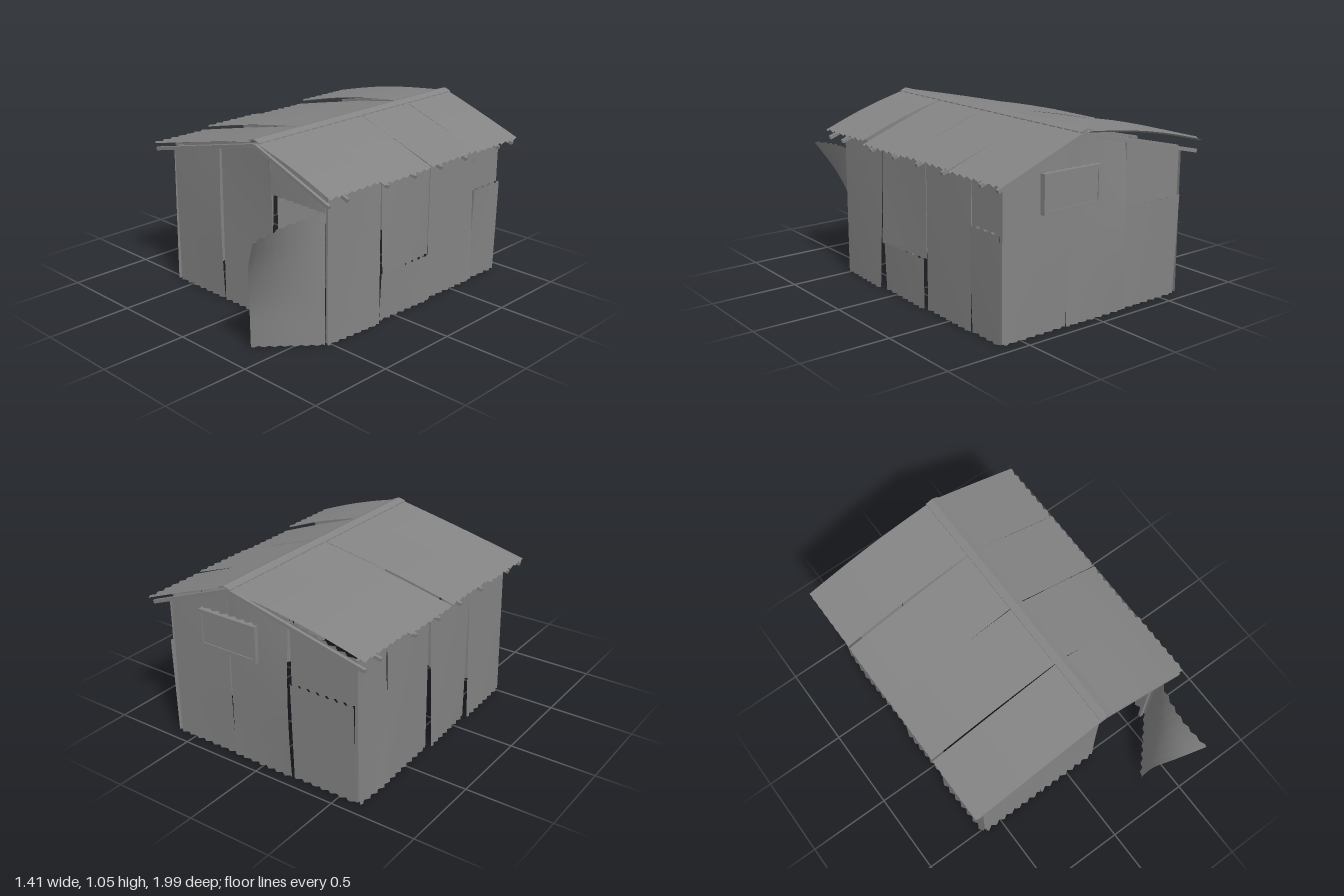
import * as THREE from 'three';

const steel = new THREE.MeshStandardMaterial({ color: 0x848484, side: THREE.DoubleSide });
steel.name = 'weathered steel';

const lerp = THREE.MathUtils.lerp;
const RIDGE_X = 0.15;
// underside height of the roof at x
const roofY = (x) => (x < RIDGE_X ? 1.005 - (RIDGE_X - x) * 0.235 : 1.005 - (x - RIDGE_X) * 0.385);

export function createModel() {
  const model = new THREE.Group();
  model.name = 'corrugatedShed';

  function add(name, geometry) {
    const mesh = new THREE.Mesh(geometry, steel);
    mesh.name = name;
    model.add(mesh);
    return mesh;
  }

  // Corrugated sheet: f(u, v) is the smooth surface, waves run across u.
  // Normals stay those of the smooth surface.
  function sheet(name, f, waves = 7, amp = 0.009, rows = 8) {
    const cols = waves * 4;
    const geo = new THREE.PlaneGeometry(1, 1, cols, rows);
    const pos = geo.attributes.position;
    for (let i = 0; i < pos.count; i++) {
      const u = pos.getX(i) + 0.5, v = pos.getY(i) + 0.5;
      pos.setXYZ(i, ...f(u, v));
    }
    geo.computeVertexNormals();
    const n = geo.attributes.normal;
    for (let i = 0; i < pos.count; i++) {
      const d = amp * Math.sin(((i % (cols + 1)) / 4) * Math.PI * 2);
      pos.setXYZ(i, pos.getX(i) + n.getX(i) * d, Math.max(0, pos.getY(i) + n.getY(i) * d), pos.getZ(i) + n.getZ(i) * d);
    }
    return add(name, geo);
  }

  // Square bar between two points
  function bar(name, a, b, w, h) {
    const A = new THREE.Vector3(...a), B = new THREE.Vector3(...b);
    const mesh = add(name, new THREE.BoxGeometry(w, h, A.distanceTo(B)));
    mesh.position.copy(A).add(B).multiplyScalar(0.5);
    mesh.lookAt(B);
  }

  // End wall sheet; out = [bottom u0, bottom u1, top u0, top u1] outward offsets
  function endSheet(name, side, x0, x1, y0, y1, out, bow = 0) {
    const z = side > 0 ? 0.52 : -0.925;
    sheet(name, (u, v) => {
      const x = lerp(x0, x1, u);
      const top = y1 ?? roofY(x);
      const o = lerp(lerp(out[0], out[1], u), lerp(out[2], out[3], u), v) + bow * Math.sin(Math.PI * v) * u;
      return [x, lerp(y0, top, v), z + side * o];
    });
  }

  // Front wall with the doorway on the left
  endSheet('frontSheetRight', 1, -0.605, -0.205, 0, null, [0, 0, 0.01, 0.01], 0.012);
  endSheet('frontSheetMiddle', 1, -0.2, 0.2, 0, null, [0, 0, 0, 0.015], -0.012);
  endSheet('doorHeader', 1, 0.2, 0.605, 0.74, null, [0.01, 0.015, 0.005, 0.005]);

  // Back wall
  endSheet('backSheetLeft', -1, 0.605, 0.2, 0, null, [0, 0, 0, 0], 0.01);
  endSheet('backSheetMiddle', -1, 0.2, -0.195, 0, null, [0.005, 0.01, 0, 0], 0.02);
  endSheet('backSheetRightLower', -1, -0.205, -0.605, 0, 0.575, [0, 0, 0.015, 0.02]);
  endSheet('backSheetRightUpper', -1, -0.205, -0.605, 0.565, null, [0, 0, 0, 0]);

  // Side walls: z start, z end, bottom, top, outward offsets, bottom skew
  const sides = [
    { name: 'left', s: 1, list: [
      [0.525, 0.125, 0, 0.83, [0, 0.025, 0, 0], 0.018],
      [0.115, -0.285, 0, 0.285, [0, 0.02, 0.01, 0.02], 0],
      [0.12, -0.285, 0.28, 0.83, [0.02, 0.0, 0, 0], 0],
      [-0.29, -0.68, 0, 0.83, [0, 0.015, 0, 0], -0.01],
      [-0.685, -0.925, 0, 0.57, [0, 0.01, 0.02, 0.02], 0],
      [-0.685, -0.925, 0.565, 0.83, [0, 0, 0, 0], 0]] },
    { name: 'right', s: -1, list: [
      [0.525, 0.125, 0, 0.83, [0.01, 0.025, 0, 0.005], 0],
      [0.12, -0.27, 0, 0.83, [0, 0.02, 0.01, 0], 0.012],
      [-0.285, -0.675, 0, 0.83, [0, 0.015, 0, 0], -0.012],
      [-0.685, -0.925, 0, 0.83, [0.02, 0.01, 0, 0.005], 0]] },
  ];
  for (const { name, s, list } of sides) {
    list.forEach(([z0, z1, y0, y1, o, skew], i) => sheet(`${name}WallSheet${i + 1}`, (u, v) => [
      s * (0.617 + lerp(lerp(o[0], o[1], u), lerp(o[2], o[3], u), v)),
      lerp(y0, y1, v),
      lerp(z0, z1, u) + skew * (1 - v) * u,
    ], Math.abs(z1 - z0) < 0.3 ? 4 : 7));
  }

  // Bent door sheet, hinged at the left front corner
  const freeEdge = new THREE.CatmullRomCurve3([
    [0.345, 0, 0.82], [0.375, 0.27, 0.85], [0.45, 0.5, 0.92], [0.57, 0.7, 0.993],
  ].map((p) => new THREE.Vector3(...p)));
  sheet('doorSheet', (u, v) => {
    const e = freeEdge.getPoint(v);
    const bend = 0.03 * Math.sin(Math.PI * u) * v;
    return [lerp(e.x, 0.605, u) - bend, lerp(e.y, 0.74 * v, u), lerp(e.z, 0.53, u)];
  }, 7, 0.007, 12);

  // Roof sheets: eave lift and mid bow for each, from back to front
  const slopes = [
    { name: 'right', x0: 0.125, x1: -0.705, y0: 1.027, y1: 0.845, lift: [0.035, 0.012, 0.02, 0], bow: [0.022, 0.006, 0.012, 0.004] },
    { name: 'left', x0: 0.175, x1: 0.7, y0: 1.027, y1: 0.833, lift: [0, 0.006, 0, 0.02], bow: [0.003, 0, 0.004, 0.012] },
  ];
  for (const r of slopes) {
    for (let i = 0; i < 4; i++) {
      const z0 = -0.998 + i * 0.4;
      sheet(`${r.name}RoofSheet${i + 1}`, (u, v) => [
        lerp(r.x0, r.x1, v),
        lerp(r.y0, r.y1, v) + r.lift[i] * v + r.bow[i] * Math.sin(Math.PI * v),
        z0 + 0.397 * u,
      ]);
    }
  }

  // Folded ridge cap
  const cap = new THREE.Shape();
  [[0.108, 1.028], [0.15, 1.04], [0.188, 1.025], [0.188, 1.031], [0.15, 1.046], [0.108, 1.034]]
    .forEach(([x, y], i) => (i ? cap.lineTo(x, y) : cap.moveTo(x, y)));
  add('ridgeCap', new THREE.ExtrudeGeometry(cap, { depth: 1.595, bevelEnabled: false })).position.z = -1;

  // Rafters
  for (const z of [0.588, 0.45, 0.145, -0.08, -0.3, -0.525, -0.835, -0.97]) {
    bar('rafterRight', [RIDGE_X, 1.01, z], [-0.69, 0.815, z], 0.018, 0.02);
    bar('rafterLeft', [RIDGE_X, 1.01, z], [0.685, 0.805, z], 0.018, 0.02);
  }

  // Corner posts
  for (const x of [-0.6, 0.6]) {
    for (const z of [0.5, -0.905]) bar('cornerPost', [x, 0, z], [x, 0.82, z], 0.02, 0.02);
  }

  // Framed window plate on the back wall
  const frame = new THREE.Shape([[0, 0.63], [0.38, 0.63], [0.38, 0.84], [0, 0.84]].map((p) => new THREE.Vector2(...p)));
  frame.holes.push(new THREE.Path([[0.02, 0.65], [0.02, 0.82], [0.36, 0.82], [0.36, 0.65]].map((p) => new THREE.Vector2(...p))));
  add('windowFrame', new THREE.ExtrudeGeometry(frame, { depth: 0.05, bevelEnabled: false })).position.z = -0.957;
  add('windowPlate', new THREE.BoxGeometry(0.36, 0.19, 0.008)).position.set(0.19, 0.735, -0.948);

  return model;
}
